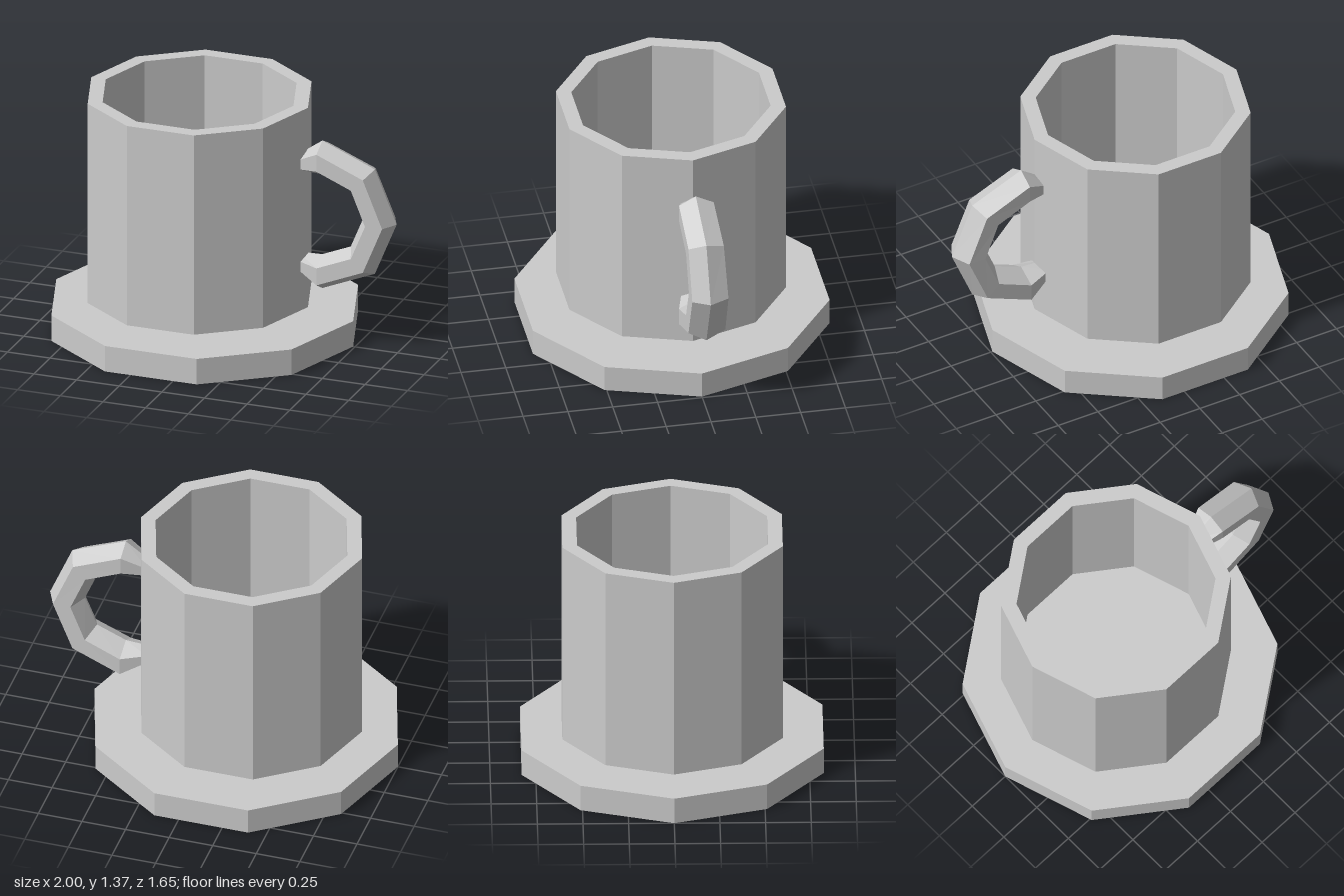
import * as THREE from 'three';

const SIDES = 10;

export function createModel() {
  const model = new THREE.Group();
  const material = new THREE.MeshStandardMaterial({ color: 0xcccccc, flatShading: true });
  const add = (name, geometry, x = 0, y = 0) => {
    const mesh = new THREE.Mesh(geometry, material);
    mesh.name = name;
    mesh.position.set(x, y, 0);
    model.add(mesh);
  };

  // Saucer: a flat ten-sided disc
  add('saucer', new THREE.CylinderGeometry(0.87, 0.87, 0.15, SIDES, 1, false, Math.PI / 2), -0.13, 0.075);

  // Cup: outer wall, rim, inner wall and floor as one profile
  const profile = [[0, 0.195], [0.635, 0.195], [0.635, 1.37], [0.55, 1.37], [0.55, 0.28], [0, 0.28]]
    .map(([r, y]) => new THREE.Vector2(r, y));
  add('cup', new THREE.LatheGeometry(profile, SIDES, Math.PI / 2), -0.16);

  // Handle: half an octagonal ring, its ends tapering into the cup wall
  add('handle', handleGeometry(), 0.56, 0.755);

  return model;
}

function handleGeometry() {
  const rings = [{ x: -0.14, y: 0.29, ux: 0, uy: 1, r: 0.045, w: 0.06 }];
  for (let i = 0; i < 5; i++) {
    const a = Math.PI / 2 - i * Math.PI / 4;
    const ux = Math.cos(a), uy = Math.sin(a);
    rings.push({ x: 0.335 * ux, y: 0.335 * uy, ux, uy, r: 0.1, w: 0.108 });
  }
  rings.push({ x: -0.14, y: -0.29, ux: 0, uy: -1, r: 0.045, w: 0.06 });

  const N = 6, positions = [], index = [];
  rings.forEach(({ x, y, ux, uy, r, w }, i) => {
    for (let j = 0; j < N; j++) {
      const a = j * 2 * Math.PI / N;
      const d = r * Math.cos(a);
      let z = w * Math.sin(a);
      // The back swells slightly towards the bottom
      if (z < 0) z *= 1.02 + 0.045 * i;
      positions.push(x + ux * d, y + uy * d, z);
    }
  });
  for (let i = 0; i < rings.length - 1; i++) {
    for (let j = 0; j < N; j++) {
      const a = i * N + j, b = i * N + (j + 1) % N;
      index.push(a, b, b + N, a, b + N, a + N);
    }
  }
  // End caps
  const last = (rings.length - 1) * N;
  for (let j = 1; j < N - 1; j++) {
    index.push(0, j + 1, j, last, last + j, last + j + 1);
  }
  const geometry = new THREE.BufferGeometry();
  geometry.setAttribute('position', new THREE.Float32BufferAttribute(positions, 3));
  geometry.setIndex(index);
  geometry.computeVertexNormals();
  return geometry;
}
